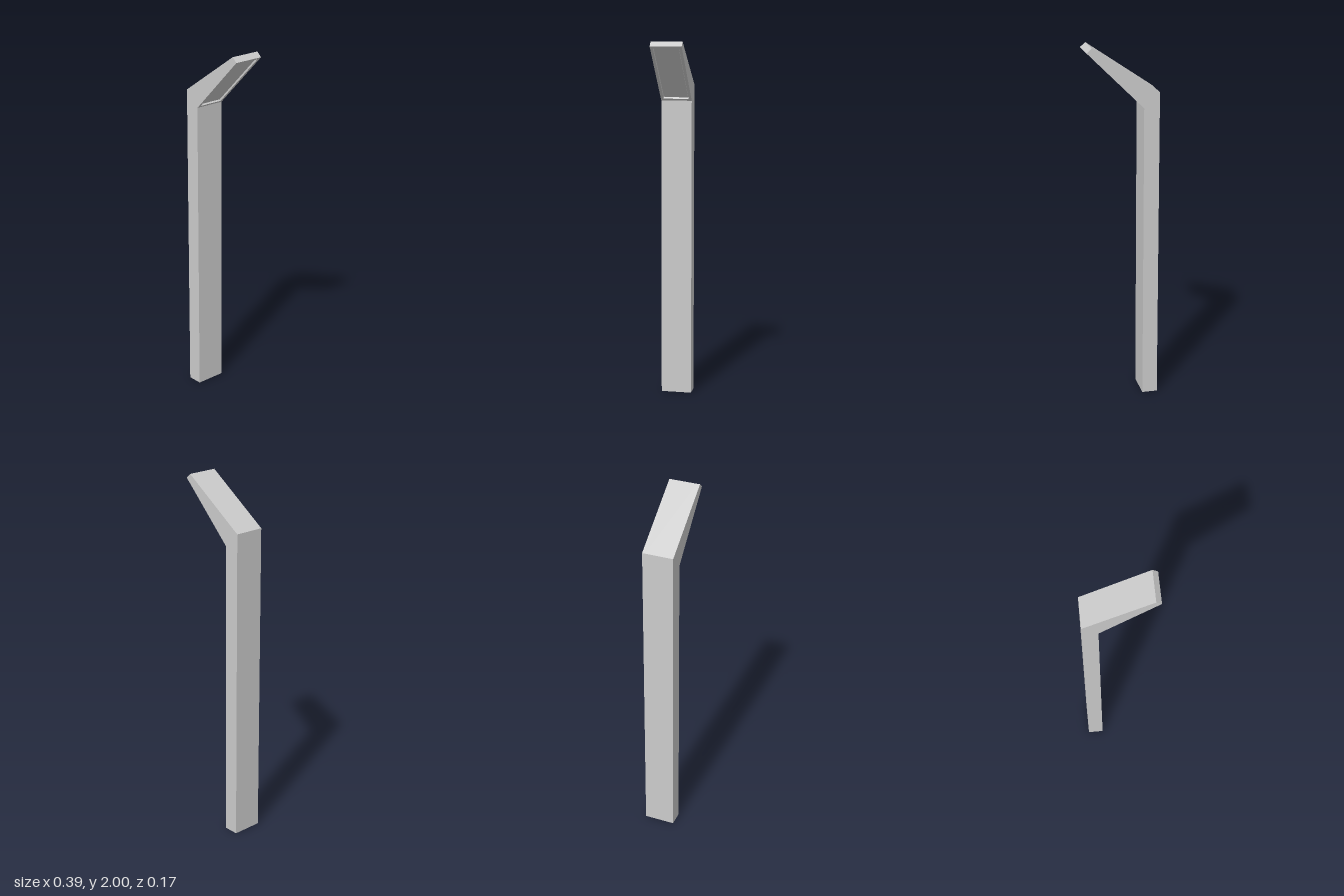
import * as THREE from 'three';

const HALF = 0.085;   // half depth of the post
const RIM = 0.015;    // rim around the light recess
const RECESS = 0.014; // depth of the recess

// Side outline: straight mast that leans into a tapering head
const heel = new THREE.Vector2(-0.113, 1.667);
const tip = new THREE.Vector2(0.195, 1.975);
const along = tip.clone().sub(heel).normalize();
const inward = new THREE.Vector2(-along.y, along.x);
const length = heel.distanceTo(tip);

// Point on the head's underside: t along the slope, d into the head
const under = (t, d) => heel.clone().addScaledVector(along, t).addScaledVector(inward, d);

function outline(notched) {
  const notch = notched
    ? [under(RIM, 0), under(RIM, RECESS), under(length - RIM, RECESS), under(length - RIM, 0)]
    : [];
  return new THREE.Shape([
    new THREE.Vector2(-0.198, 0), new THREE.Vector2(-0.113, 0), heel,
    ...notch, tip,
    new THREE.Vector2(0.167, 2), new THREE.Vector2(-0.198, 1.75),
  ]);
}

export function createModel() {
  const group = new THREE.Group();
  group.name = 'lampPost';
  const material = new THREE.MeshStandardMaterial({ color: 0xcccccc, flatShading: true });

  const addSlab = (name, shape, z0, z1) => {
    const geometry = new THREE.ExtrudeGeometry(shape, { depth: z1 - z0, bevelEnabled: false });
    geometry.translate(0, 0, z0);
    const mesh = new THREE.Mesh(geometry, material);
    mesh.name = name;
    group.add(mesh);
  };

  // Notched core between two full cheeks leaves a framed recess under the head
  const inner = HALF - RIM;
  addSlab('postCore', outline(true), -inner, inner);
  addSlab('frontCheek', outline(false), inner, HALF);
  addSlab('backCheek', outline(false), -HALF, -inner);

  // Light panel set inside the recess, with a thin gap around it
  const gap = 0.004, thick = 0.006;
  const panel = new THREE.Mesh(
    new THREE.BoxGeometry(length - 2 * (RIM + gap), thick, 2 * (inner - gap)), material);
  const centre = under(length / 2, RECESS - thick / 2);
  panel.position.set(centre.x, centre.y, 0);
  panel.rotation.z = Math.atan2(along.y, along.x);
  panel.name = 'lightPanel';
  group.add(panel);

  return group;
}
